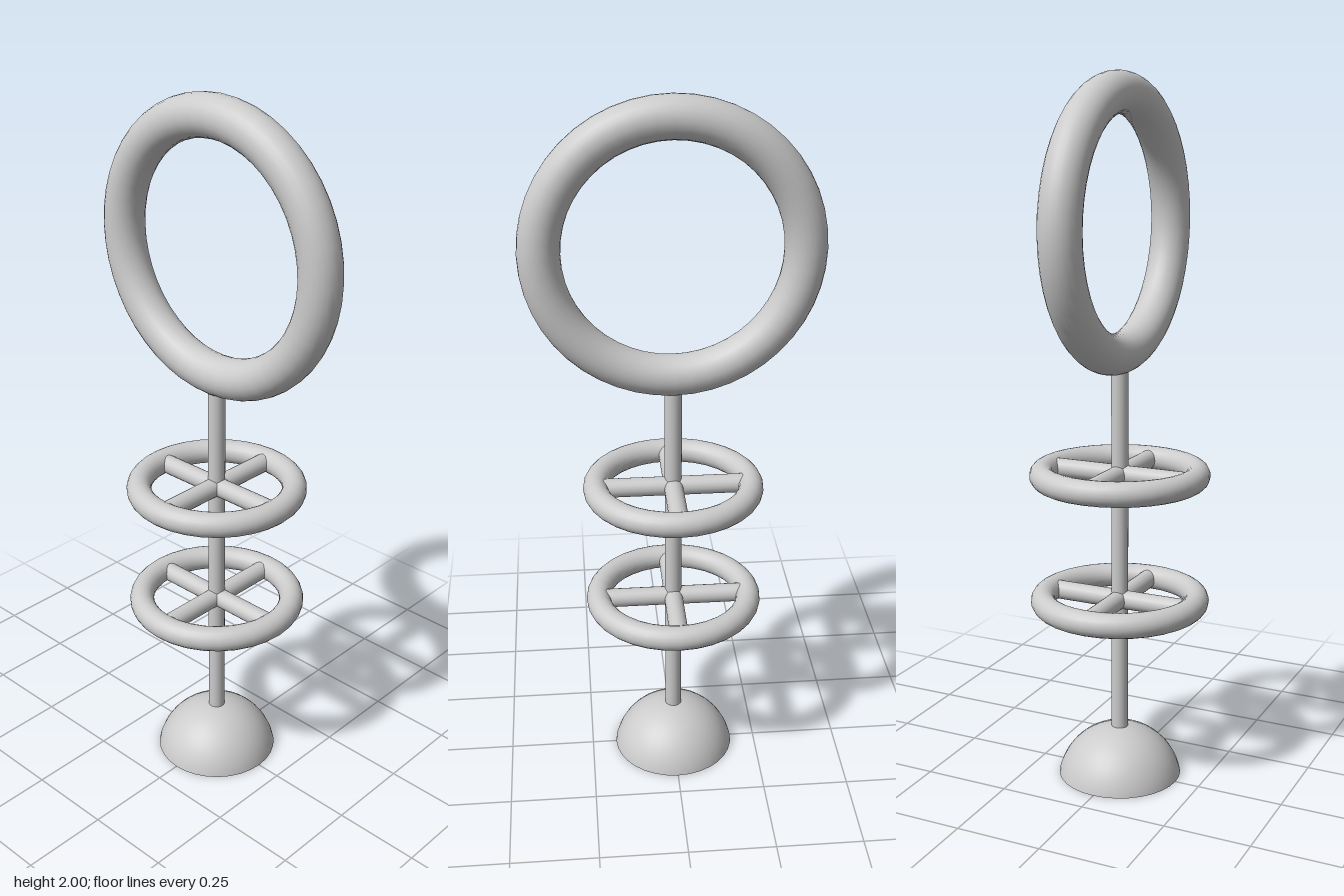
import * as THREE from 'three';

export function createModel() {
  const model = new THREE.Group();
  const material = new THREE.MeshStandardMaterial({ color: 0xcccccc });

  const add = (name, geometry, parent = model) => {
    const mesh = new THREE.Mesh(geometry, material);
    mesh.name = name;
    parent.add(mesh);
    return mesh;
  };

  // Domed base: a spherical cap with a flat underside
  const radius = 0.182, height = 0.145;
  const angle = Math.acos((radius - height) / radius);
  const rim = radius * Math.sin(angle);
  add('baseDome', new THREE.SphereGeometry(radius, 32, 16, 0, Math.PI * 2, 0, angle))
    .position.y = height - radius;
  add('baseUnderside', new THREE.CircleGeometry(rim, 32).rotateX(Math.PI / 2));

  // Central pole, running from the base into the top ring
  add('pole', new THREE.CylinderGeometry(0.024, 0.024, 1.12, 24)).position.y = 0.66;

  // Upright ring at the top, facing sideways
  add('topRing', new THREE.TorusGeometry(0.349, 0.057, 24, 48).rotateY(Math.PI / 2))
    .position.y = 1.594;

  // Two level wheels, each with four spokes
  [['lowerWheel', 0.533], ['upperWheel', 0.902]].forEach(([name, y]) => {
    const wheel = new THREE.Group();
    wheel.name = name;
    wheel.position.y = y;
    model.add(wheel);
    add('wheelRim', new THREE.TorusGeometry(0.22, 0.035, 20, 32).rotateX(Math.PI / 2), wheel);
    for (let i = 0; i < 4; i++) {
      const spoke = new THREE.CylinderGeometry(0.027, 0.027, 0.21, 20)
        .rotateZ(Math.PI / 2).translate(0.105, 0, 0).rotateY(i * Math.PI / 2);
      add('spoke', spoke, wheel);
    }
  });

  return model;
}
